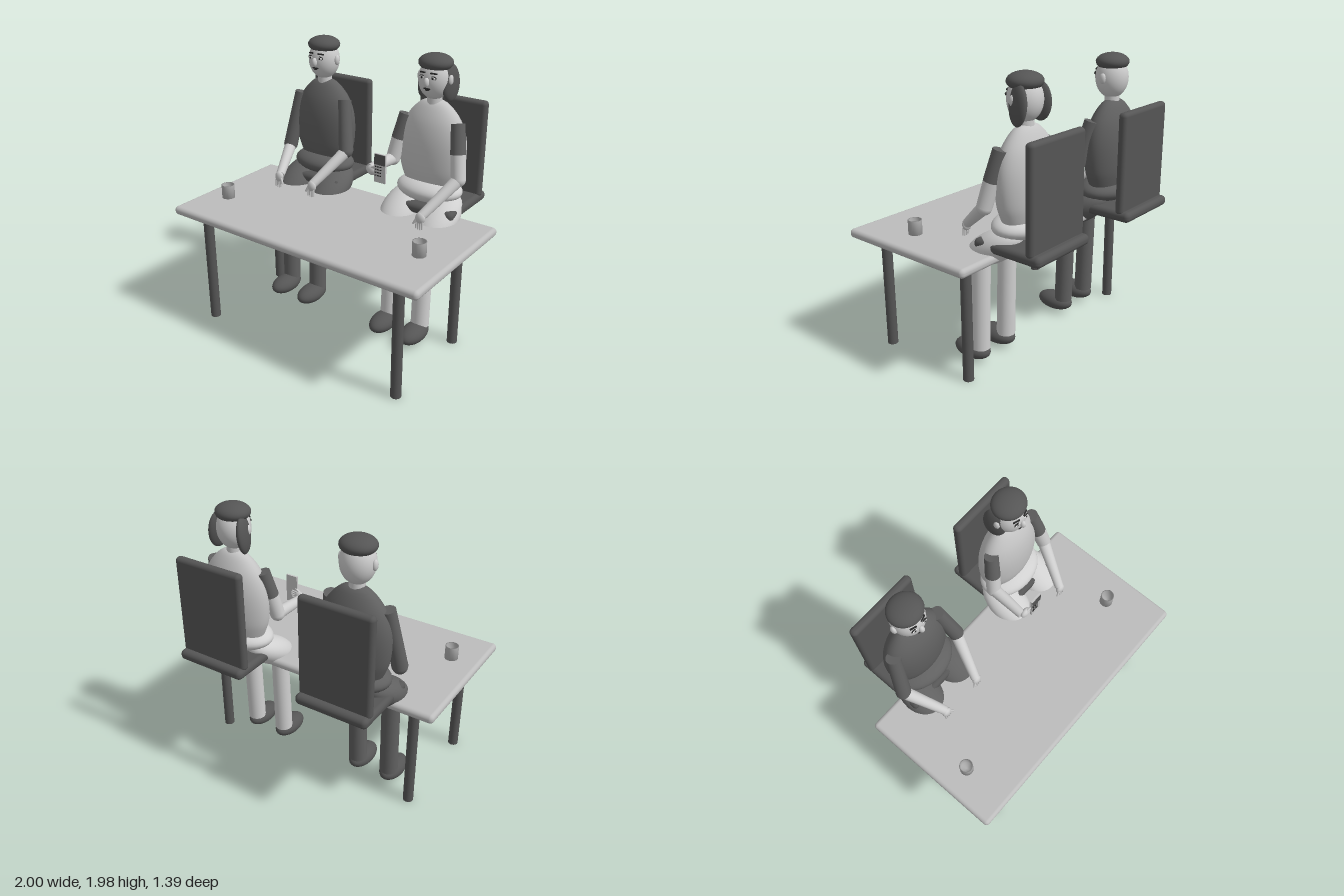
import * as THREE from 'three';
import { RoundedBoxGeometry } from 'three/addons/geometries/RoundedBoxGeometry.js';

const mat = (name, color, side = THREE.FrontSide) => {
  const m = new THREE.MeshStandardMaterial({ color, side });
  m.name = name;
  return m;
};
const V = (x, y, z) => new THREE.Vector3(x, y, z);

export function createModel() {
  const M = {
    table: mat('tableGrey', 0xbcbcbc),
    dark: mat('darkGrey', 0x555555),
    darkCloth: mat('darkCloth', 0x606060),
    lightCloth: mat('lightCloth', 0xc4c4c4),
    paleCloth: mat('paleCloth', 0xd0d0d0),
    skin: mat('skin', 0xcccccc),
    cup: mat('cupGrey', 0xb0b0b0, THREE.DoubleSide),
    ink: mat('ink', 0x2a2a2a),
    white: mat('eyeWhite', 0xeeeeee),
  };

  const add = (parent, name, geo, material, x = 0, y = 0, z = 0) => {
    const m = new THREE.Mesh(geo, material);
    m.name = name;
    m.position.set(x, y, z);
    parent.add(m);
    return m;
  };
  const group = (parent, name, x = 0, y = 0, z = 0) => {
    const g = new THREE.Group();
    g.name = name;
    g.position.set(x, y, z);
    parent.add(g);
    return g;
  };
  const ball = (parent, name, material, p, r, seg = 28) => {
    const m = add(parent, name, new THREE.SphereGeometry(1, seg, Math.round(seg * 0.7)), material, ...p);
    m.scale.set(...r);
    return m;
  };
  // tapered limb between two points
  const limb = (parent, name, material, a, b, ra, rb) => {
    const d = b.clone().sub(a);
    const m = add(parent, name, new THREE.CylinderGeometry(rb, ra, d.length(), 24), material);
    m.position.copy(a).addScaledVector(d, 0.5);
    m.quaternion.setFromUnitVectors(V(0, 1, 0), d.normalize());
    return m;
  };

  const root = new THREE.Group();
  root.name = 'seatedPair';

  // table
  const table = group(root, 'table');
  add(table, 'tableTop', new RoundedBoxGeometry(2, 0.062, 1.04, 4, 0.028), M.table, 0, 0.859, 0.173);
  for (const x of [-0.8, 0.8]) for (const z of [-0.18, 0.56])
    add(table, 'tableLeg', new THREE.CylinderGeometry(0.036, 0.036, 0.84, 24), M.dark, x, 0.42, z);

  // open cups
  const cupProfile = [[0, 0], [0.046, 0], [0.046, 0.097], [0.04, 0.097], [0.04, 0.01], [0, 0.01]]
    .map(p => new THREE.Vector2(...p));
  for (const [x, z] of [[-0.803, 0.342], [0.773, 0.293]])
    add(root, 'cup', new THREE.LatheGeometry(cupProfile, 28), M.cup, x, 0.89, z);

  // chairs
  for (const x of [-0.473, 0.473]) {
    const chair = group(root, 'chair', x);
    add(chair, 'chairSeat', new RoundedBoxGeometry(0.52, 0.072, 0.52, 4, 0.032), M.dark, 0, 0.935, -0.44);
    add(chair, 'chairBack', new RoundedBoxGeometry(0.52, 0.7, 0.062, 4, 0.028), M.dark, 0, 1.295, -0.62);
  }

  const torsoProfile = new THREE.SplineCurve([[0.18, 1.04], [0.215, 1.12], [0.24, 1.2], [0.25, 1.32],
    [0.24, 1.43], [0.205, 1.53], [0.145, 1.61], [0.08, 1.66], [0.001, 1.675]]
    .map(p => new THREE.Vector2(...p))).getPoints(28);

  const makeHead = (body, longHair) => {
    const head = group(body, 'head', 0, 1.815, -0.372);
    ball(head, 'skull', M.skin, [0, 0, 0], [0.113, 0.14, 0.112], 36);
    ball(head, 'hairCap', M.dark, [0, 0.108, 0], [0.118, 0.06, 0.111], 32);
    const faceZ = (x, y) => 0.112 * Math.sqrt(1 - (x / 0.113) ** 2 - (y / 0.14) ** 2);
    for (const s of [-1, 1]) {
      ball(head, 'ear', M.skin, [s * 0.114, 0.005, 0], [0.018, 0.036, 0.024], 16);
      const ez = faceZ(0.041, 0.025);
      ball(head, 'eyeOutline', M.ink, [s * 0.041, 0.026, ez - 0.001], [0.024, 0.013, 0.006], 16);
      ball(head, 'eyeWhite', M.white, [s * 0.041, 0.024, ez + 0.001], [0.021, 0.01, 0.007], 16);
      ball(head, 'pupil', M.ink, [s * 0.041, 0.024, ez + 0.006], [0.008, 0.008, 0.004], 12);
      const brow = add(head, 'eyebrow', new THREE.BoxGeometry(0.046, 0.009, 0.009), M.ink,
        s * 0.041, 0.055, faceZ(0.041, 0.055) + 0.002);
      brow.rotation.set(0, s * 0.35, s * -0.08);
      if (longHair) {
        const lock = ball(head, 'hairLock', M.dark, [s * 0.1, -0.02, -0.028], [0.034, 0.127, 0.08]);
        lock.rotation.set(0, s * -0.25, s * 0.08);
      }
    }
    ball(head, 'nose', M.skin, [0, -0.005, 0.116], [0.019, 0.032, 0.021], 16);
    ball(head, 'upperLip', M.ink, [0, -0.048, faceZ(0, -0.048)], [0.028, 0.006, 0.006], 14);
    ball(head, 'lowerLip', M.ink, [0, -0.059, faceZ(0, -0.059)], [0.017, 0.005, 0.006], 14);
  };

  // palm with four fingers and a thumb, hanging from the wrist
  const makeHand = (body, p, s) => {
    const hand = group(body, 'hand', p.x, p.y, p.z);
    ball(hand, 'palm', M.skin, [0, 0, 0], [0.036, 0.042, 0.024], 18);
    for (let i = 0; i < 4; i++) {
      const x = (i - 1.5) * 0.014;
      limb(hand, 'finger', M.skin, V(x, -0.02, 0.008), V(x * 1.1, -0.082 + Math.abs(i - 1.5) * 0.006, 0.012), 0.008, 0.006);
    }
    limb(hand, 'thumb', M.skin, V(s * -0.02, 0, 0.008), V(s * -0.044, -0.045, 0.016), 0.01, 0.007);
    return hand;
  };

  const makePerson = (name, x, shirt, trousers, longHair, arms) => {
    const body = group(root, name, x);
    const torso = add(body, 'torso', new THREE.LatheGeometry(torsoProfile, 40), shirt, 0, 0, -0.385);
    torso.scale.z = 0.56;
    ball(body, 'hips', trousers, [0, 1.04, -0.365], [0.243, 0.088, 0.175], 32);
    add(body, 'neck', new THREE.CylinderGeometry(0.05, 0.052, 0.12, 24), M.skin, 0, 1.68, -0.378);
    makeHead(body, longHair);

    for (const s of [-1, 1]) {
      // legs
      const thigh = ball(body, 'thigh', trousers, [s * 0.152, 0.89, -0.245], [0.138, 0.105, 0.235]);
      thigh.rotation.x = 0.52;
      limb(body, 'shin', trousers, V(s * 0.128, 0.11, -0.09), V(s * 0.128, 0.81, -0.11), 0.065, 0.055 + 0.008);
      ball(body, 'shoe', M.dark, [s * 0.127, 0.077, -0.015], [0.084, 0.066, 0.145]);
    }

    // arms
    for (const { s, elbow, wrist } of arms) {
      const shoulder = V(s * 0.198, 1.545, -0.35);
      const mid = shoulder.clone().lerp(elbow, longHair ? 0.55 : 1);
      limb(body, 'sleeve', M.darkCloth, shoulder, mid, 0.048, 0.053);
      if (longHair) limb(body, 'upperArm', M.skin, mid, elbow, 0.052, 0.05);
      ball(body, 'elbow', longHair ? M.skin : M.darkCloth, elbow.toArray(), [0.05, 0.05, 0.05], 20);
      limb(body, 'forearm', M.skin, elbow, wrist, 0.044, 0.032);
    }
    return body;
  };

  // person in dark clothes, both hands on the table
  const manArms = [
    { s: -1, elbow: V(-0.26, 1.13, -0.275), wrist: V(-0.15, 0.99, -0.015) },
    { s: 1, elbow: V(0.265, 1.19, -0.275), wrist: V(0.155, 0.99, -0.015) },
  ];
  const man = makePerson('darkDressedPerson', -0.4625, M.darkCloth, M.darkCloth, false, manArms);
  for (const { s, wrist } of manArms) makeHand(man, wrist.clone().add(V(0, -0.012, 0.01)), s);

  // person in light clothes, right hand raised with a phone
  const womanArms = [
    { s: -1, elbow: V(-0.255, 1.225, -0.285), wrist: V(-0.272, 1.225, -0.02) },
    { s: 1, elbow: V(0.265, 1.19, -0.275), wrist: V(0.145, 0.99, -0.015) },
  ];
  const woman = makePerson('lightDressedPerson', 0.456, M.lightCloth, M.paleCloth, true, womanArms);
  makeHand(woman, V(0.143, 0.978, -0.005), 1);
  const grip = makeHand(woman, V(-0.245, 1.225, -0.01), -1);
  grip.rotation.z = Math.PI / 2;

  // phone
  const phone = group(woman, 'phone', -0.168, 1.26, 0.01);
  add(phone, 'phoneBody', new THREE.BoxGeometry(0.088, 0.2, 0.014), M.lightCloth);
  add(phone, 'phoneScreen', new THREE.BoxGeometry(0.084, 0.072, 0.004), M.dark, 0, 0.062, 0.008);
  for (let i = 0; i < 12; i++)
    add(phone, 'phoneKey', new THREE.BoxGeometry(0.011, 0.007, 0.006), M.ink,
      -0.03 + (i % 3) * 0.019, 0.012 - Math.floor(i / 3) * 0.021, 0.008);

  return root;
}
